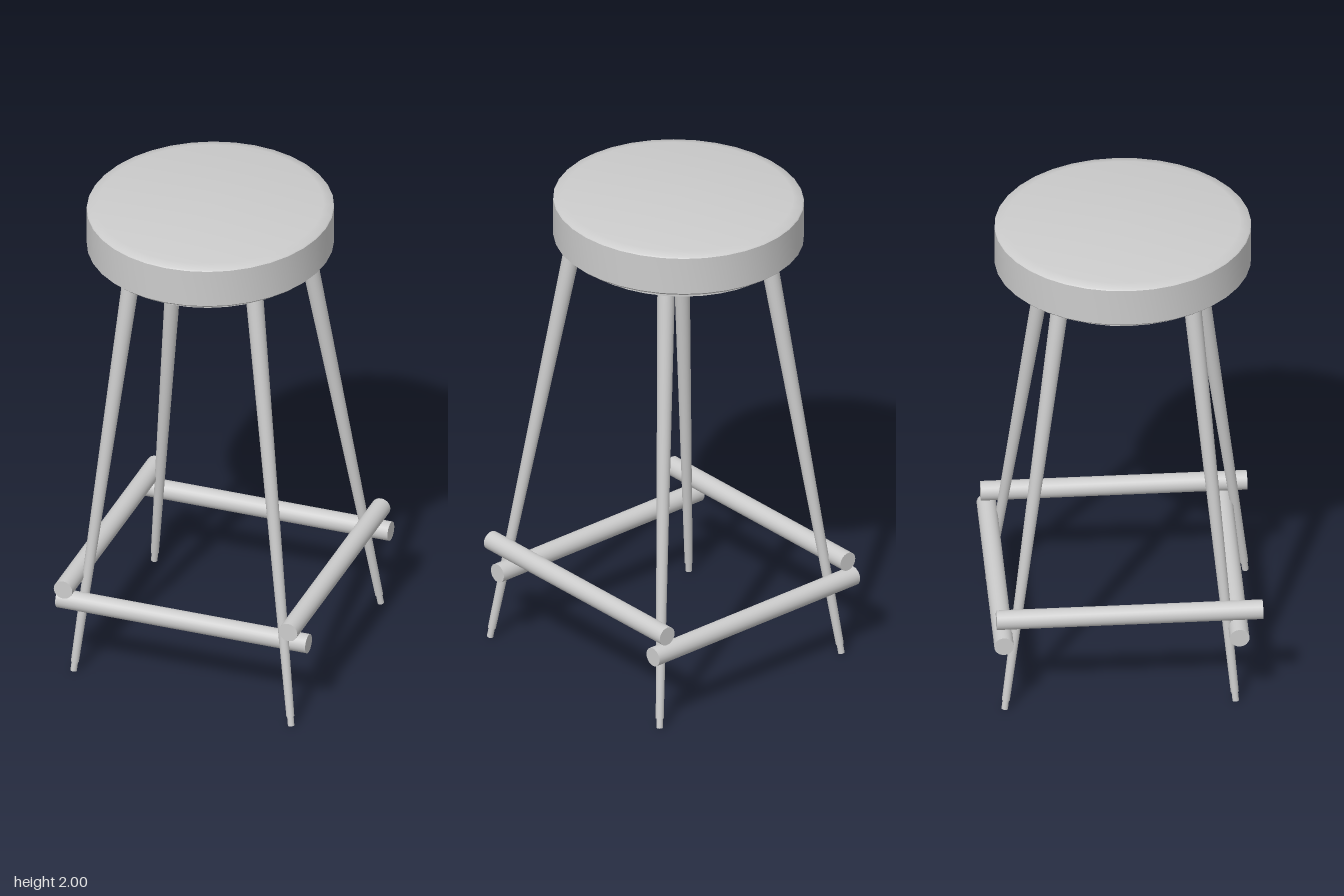
import * as THREE from 'three';
import { toCreasedNormals } from 'three/addons/utils/BufferGeometryUtils.js';

const material = new THREE.MeshStandardMaterial({ color: 0xcccccc });
const UP = new THREE.Vector3(0, 1, 0);

// Round rod between two points, with a radius at each end
function rod(name, from, to, r0, r1, sides = 20) {
  const a = new THREE.Vector3(...from);
  const b = new THREE.Vector3(...to);
  const dir = b.clone().sub(a);
  const mesh = new THREE.Mesh(new THREE.CylinderGeometry(r1, r0, dir.length(), sides), material);
  mesh.name = name;
  mesh.position.copy(a).add(b).multiplyScalar(0.5);
  mesh.quaternion.setFromUnitVectors(UP, dir.normalize());
  return mesh;
}

// Slightly oval turned part from [radius, height] points, listed bottom to top
function turned(name, profile) {
  const points = profile.map(([r, y]) => new THREE.Vector2(r, y));
  const geometry = new THREE.LatheGeometry(points, 36);
  geometry.scale(0.958, 1, 1);
  const mesh = new THREE.Mesh(toCreasedNormals(geometry, 0.7), material);
  mesh.name = name;
  mesh.position.set(-0.047, 0, 0.006);
  return mesh;
}

export function createModel() {
  const stool = new THREE.Group();
  stool.name = 'stool';

  // Padded seat with a shallow bevel round the top
  stool.add(turned('seatCushion', [
    [0, 1.818], [0.497, 1.818], [0.508, 1.828], [0.508, 1.985], [0.503, 1.99], [0.465, 1.998], [0, 2],
  ]));

  // Stepped base under the cushion
  stool.add(turned('seatBase', [
    [0, 1.782], [0.443, 1.782], [0.443, 1.798], [0.467, 1.798], [0.467, 1.82], [0, 1.82],
  ]));

  // Splayed tapered legs, each with a small foot tip: [name, foot x, z, top x, z]
  const legs = [
    ['frontLeftLeg', 0.487, 0.527, 0.247, 0.295],
    ['frontRightLeg', -0.468, 0.425, -0.28, 0.262],
    ['backLeftLeg', 0.487, -0.49, 0.247, -0.255],
    ['backRightLeg', -0.468, -0.49, -0.28, -0.255],
  ];
  for (const [name, fx, fz, tx, tz] of legs) {
    const foot = new THREE.Vector3(fx, 0.005, fz);
    const top = new THREE.Vector3(tx, 1.79, tz);
    const joint = foot.clone().lerp(top, 0.022);
    const leg = new THREE.Group();
    leg.name = name;
    leg.add(rod('shaft', joint.toArray(), top.toArray(), 0.016, 0.035));
    leg.add(rod('footTip', foot.toArray(), joint.toArray(), 0.013, 0.013));
    stool.add(leg);
  }

  // Lower rails run side to side, upper rails run front to back
  const r = 0.039;
  for (const [name, z] of [['frontRail', 0.437], ['backRail', -0.496]]) {
    stool.add(rod(name, [-0.527, 0.333, z], [0.527, 0.338, z], r, r, 24));
  }
  for (const [name, x] of [['leftRail', 0.476], ['rightRail', -0.473]]) {
    stool.add(rod(name, [x, 0.424, -0.523], [x, 0.431, 0.532], r, r, 24));
  }
  return stool;
}
